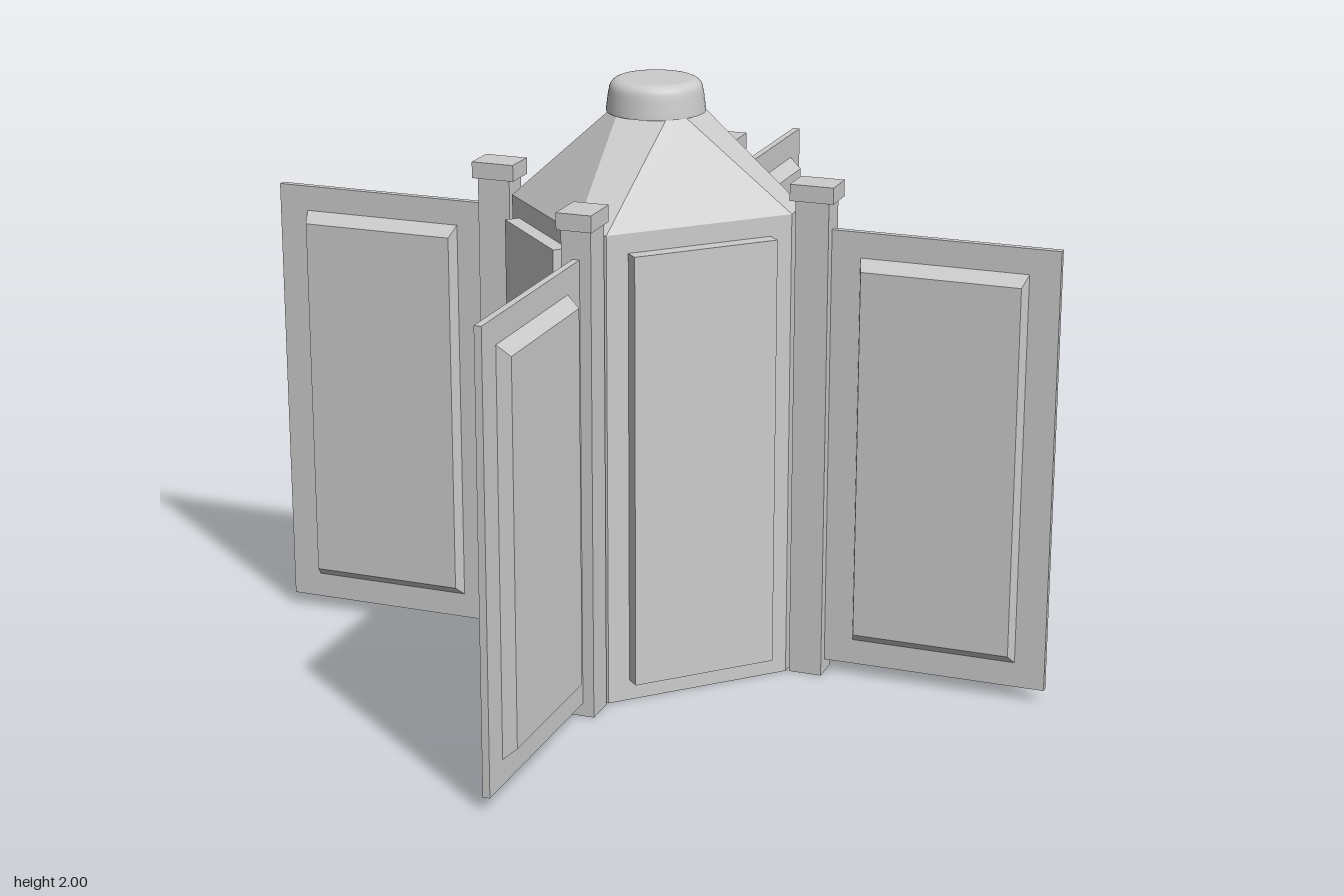
import * as THREE from 'three';

const material = new THREE.MeshStandardMaterial({ color: 0xcccccc });
const flatMaterial = new THREE.MeshStandardMaterial({ color: 0xcccccc, flatShading: true });

function add(parent, name, geometry, x = 0, y = 0, z = 0, mat = flatMaterial) {
  const mesh = new THREE.Mesh(geometry, mat);
  mesh.name = name;
  mesh.position.set(x, y, z);
  parent.add(mesh);
  return mesh;
}

// Solid through rings of [x, z] corners (counter-clockwise from above) at given heights, closed at both ends.
function loft(levels) {
  const pos = [];
  const rings = levels.map(({ y, ring }) => ring.map(([x, z]) => [x, y, z]));
  const n = rings[0].length;
  const tri = (a, b, c) => pos.push(...a, ...b, ...c);
  for (let k = 0; k + 1 < rings.length; k++) {
    const a = rings[k], b = rings[k + 1];
    for (let i = 0; i < n; i++) {
      const j = (i + 1) % n;
      tri(a[i], a[j], b[j]);
      tri(a[i], b[j], b[i]);
    }
  }
  const bottom = rings[0], top = rings[rings.length - 1];
  for (let i = 1; i + 1 < n; i++) {
    tri(bottom[0], bottom[i + 1], bottom[i]);
    tri(top[0], top[i], top[i + 1]);
  }
  const geometry = new THREE.BufferGeometry();
  geometry.setAttribute('position', new THREE.Float32BufferAttribute(pos, 3));
  geometry.computeVertexNormals();
  return geometry;
}

const rectangle = (x, z) => [[-x, z], [x, z], [x, -z], [-x, -z]];

// Rectangle with cut corners: half sizes x, z and the flat half lengths fx, fz
const octagon = (x, z, fx, fz) => [
  [-fx, z], [fx, z], [x, fz], [x, -fz], [fx, -z], [-fx, -z], [-x, -fz], [-x, fz],
];

// Thin wing with a bevelled raised panel on both faces, reaching outwards along +x
function addWing(parent) {
  const wing = new THREE.Group();
  wing.name = 'wing';
  add(wing, 'wingBoard', new THREE.BoxGeometry(0.79, 1.495, 0.024), 0.415, 0.7925, 0);
  const panel = loft([
    { y: 0, ring: rectangle(0.282, 0.672) },
    { y: 0.055, ring: rectangle(0.264, 0.627) },
  ]).rotateX(Math.PI / 2);
  add(wing, 'wingPanel', panel, 0.431, 0.7925, 0);
  add(wing, 'wingPanel', panel, 0.431, 0.7925, 0).rotation.y = Math.PI;
  parent.add(wing);
}

export function createModel() {
  const model = new THREE.Group();
  model.name = 'wingedTower';

  // Body with cut corners and hipped roof
  const wall = octagon(0.4, 0.34, 0.325, 0.265);
  add(model, 'body', loft([{ y: 0, ring: wall }, { y: 1.59, ring: wall }]));
  add(model, 'roof', loft([
    { y: 1.59, ring: wall },
    { y: 1.895, ring: octagon(0.155, 0.155, 0.035, 0.035) },
  ]));

  // Raised panels on the four walls
  for (const s of [-1, 1]) {
    add(model, 'wallPanel', new THREE.BoxGeometry(0.5, 1.455, 0.1), 0, 0.7975, s * 0.34);
    add(model, 'sidePanel', new THREE.BoxGeometry(0.1, 1.455, 0.41), s * 0.4, 0.7975, 0);
  }

  // Rounded knob on top; doubled points keep the lower rim sharp
  const profile = [[0, 1.893], [0.162, 1.893], [0.162, 1.893], [0.162, 1.9], [0.155, 1.955]];
  for (let i = 0; i <= 6; i++) {
    const a = (i / 6) * Math.PI / 2;
    profile.push([0.115 + 0.038 * Math.cos(a), 1.962 + 0.038 * Math.sin(a)]);
  }
  profile.push([0, 2]);
  const knob = new THREE.LatheGeometry(profile.map(([r, y]) => new THREE.Vector2(r, y)), 40);
  add(model, 'knob', knob, 0, 0, 0, material);

  // Corner posts with caps and diagonal wings
  for (const sx of [-1, 1]) {
    for (const sz of [-1, 1]) {
      const corner = new THREE.Group();
      corner.name = 'corner';
      corner.position.set(sx * 0.41, 0, sz * 0.35);
      corner.rotation.y = Math.atan2(-sz, sx);
      add(corner, 'post', new THREE.BoxGeometry(0.112, 1.64, 0.1), 0, 0.82, 0);
      add(corner, 'postCap', new THREE.BoxGeometry(0.147, 0.055, 0.118), 0, 1.6625, 0);
      addWing(corner);
      model.add(corner);
    }
  }
  return model;
}
